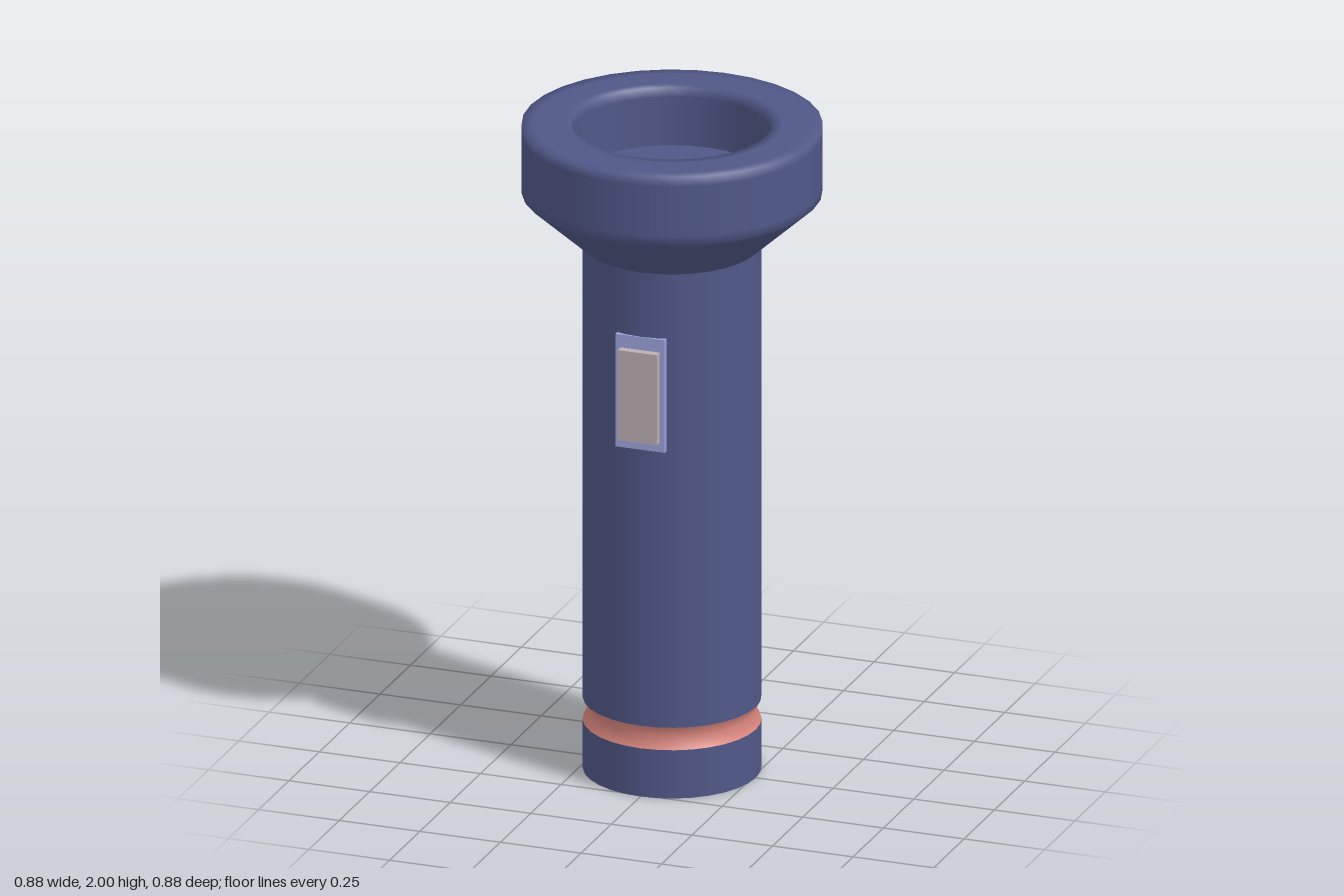
import * as THREE from 'three';

const SEGMENTS = 32;
const mat = (color) => new THREE.MeshStandardMaterial({ color });

// Spins a [radius, height] profile; a repeated point makes a hard edge.
function spin(name, profile, material) {
  const points = profile.map(([r, y]) => new THREE.Vector2(r, y));
  const mesh = new THREE.Mesh(new THREE.LatheGeometry(points, SEGMENTS), material);
  mesh.name = name;
  return mesh;
}

function box(name, w, h, zBack, zFront, y, material) {
  const mesh = new THREE.Mesh(new THREE.BoxGeometry(w, h, zFront - zBack), material);
  mesh.position.set(0, y, (zBack + zFront) / 2);
  mesh.name = name;
  return mesh;
}

export function createModel() {
  const group = new THREE.Group();
  group.name = 'flashlight';
  const blue = mat(0x505888);
  const salmon = mat(0xdd8880);
  const lavender = mat(0x9ca3dc);
  const grey = mat(0xbcaeb2);
  const R = 0.26, HEAD = 0.4375, HOLE = 0.293, FLOOR = 1.82;

  // Tail cap with a closed bottom
  group.add(spin('tailCap', [[0, 0], [R, 0], [R, 0], [R, 0.15]], blue));

  // V-shaped groove ring
  group.add(spin('grooveRing', [[R, 0.15], [0.242, 0.185], [R, 0.22]], salmon));

  // Barrel
  group.add(spin('barrel', [[R, 0.22], [R, 1.63]], blue));

  // Flared head; extra loops keep the smooth shading close to the edges
  group.add(spin('head', [
    [R, 1.63], [HEAD - 0.02, 1.772], [HEAD, 1.79], [HEAD, 1.815],
    [HEAD, 1.97], [HEAD, 2], [HEAD - 0.035, 2],
    [HOLE + 0.03, 2], [HOLE, 2], [HOLE, 1.97],
    [HOLE, FLOOR], [HOLE, FLOOR], [0, FLOOR],
  ], blue));

  // Switch on the front of the barrel
  group.add(box('switchPlate', 0.152, 0.35, 0.22, 0.263, 1.255, lavender));
  group.add(box('switchButton', 0.122, 0.28, 0.24, 0.287, 1.25, grey));

  return group;
}
